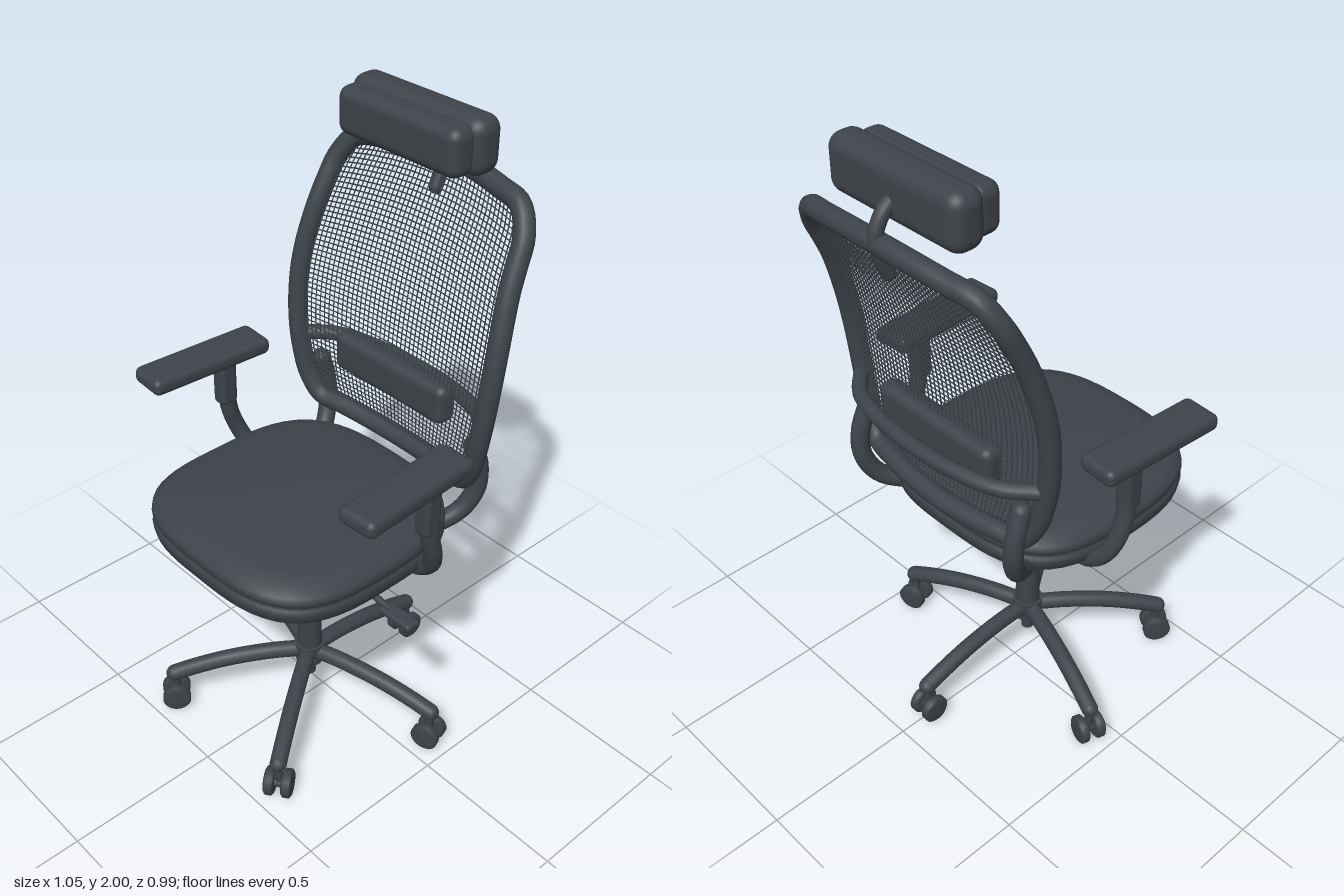
import * as THREE from 'three';
import { mergeGeometries, mergeVertices } from 'three/addons/utils/BufferGeometryUtils.js';
import { RoundedBoxGeometry } from 'three/addons/geometries/RoundedBoxGeometry.js';

const V = (x, y, z) => new THREE.Vector3(x, y, z);
const charcoal = new THREE.MeshStandardMaterial({ color: 0x3d4349 });
charcoal.name = 'charcoal';

function add(parent, name, geometry, x = 0, y = 0, z = 0) {
  const mesh = new THREE.Mesh(geometry, charcoal);
  mesh.name = name;
  mesh.position.set(x, y, z);
  parent.add(mesh);
  return mesh;
}

// Round rod through points, closed off with domed ends
function rod(points, radius, segments = 32) {
  const ends = [points[0], points[points.length - 1]].map((p) =>
    new THREE.SphereGeometry(radius, 14, 10).translate(p.x, p.y, p.z));
  const tube = new THREE.TubeGeometry(new THREE.CatmullRomCurve3(points), segments, radius, 14);
  return mergeGeometries([tube, ...ends]);
}

// Backrest surface: u runs across (-1..1), v runs up (0..1)
const sideCurve = new THREE.CatmullRomCurve3([
  V(0.335, 0.91, -0.272), V(0.37, 1.0, -0.26), V(0.4, 1.15, -0.255), V(0.41, 1.35, -0.275),
  V(0.392, 1.55, -0.33), V(0.37, 1.7, -0.4), V(0.345, 1.755, -0.425),
]);
function backPoint(u, v) {
  const s = sideCurve.getPointAt(v);
  const k = 1 - u * u;
  return V(u * s.x, s.y + (-0.02 + 0.06 * v) * k, s.z - 0.04 * k);
}

function buildBackrest(chair) {
  const back = new THREE.Group();
  back.name = 'backrest';
  chair.add(back);

  // Closed frame following the border of the backrest surface
  const border = [];
  for (let i = 0; i < 8; i++) border.push(backPoint(-0.94 + 1.88 * i / 7, 1));
  for (let i = 1; i < 12; i++) border.push(backPoint(1, 1 - i / 12));
  for (let i = 0; i < 8; i++) border.push(backPoint(0.94 - 1.88 * i / 7, 0));
  for (let i = 1; i < 12; i++) border.push(backPoint(-1, i / 12));
  add(back, 'backFrame', new THREE.TubeGeometry(new THREE.CatmullRomCurve3(border, true), 160, 0.032, 14, true));

  // Woven mesh of fine threads
  const threads = [];
  const thread = (at, segments) => {
    const points = Array.from({ length: 13 }, (_, i) => at(i / 12));
    threads.push(new THREE.TubeGeometry(new THREE.CatmullRomCurve3(points), segments, 0.0025, 4));
  };
  const columns = 46, rows = 56;
  for (let i = 1; i < columns; i++) thread((t) => backPoint(-1 + 2 * i / columns, t), 20);
  for (let i = 1; i < rows; i++) thread((t) => backPoint(-1 + 2 * t, i / rows), 16);
  add(back, 'backMesh', mergeGeometries(threads));

  // Lumbar pad and the bowed bar behind it
  add(back, 'lumbarPad', new RoundedBoxGeometry(0.47, 0.13, 0.075, 4, 0.028), 0, 1.12, -0.292);
  add(back, 'lumbarBar', rod([V(-0.385, 1.115, -0.27), V(-0.3, 1.115, -0.34), V(-0.15, 1.115, -0.378),
    V(0, 1.115, -0.387), V(0.15, 1.115, -0.378), V(0.3, 1.115, -0.34), V(0.385, 1.115, -0.27)], 0.024));

  // Curved supports joining the backrest to the seat
  for (const s of [-1, 1]) {
    add(back, 'backSupport', rod([V(s * 0.335, 1.03, -0.295), V(s * 0.34, 0.95, -0.322), V(s * 0.335, 0.86, -0.325),
      V(s * 0.31, 0.78, -0.285), V(s * 0.26, 0.735, -0.2), V(s * 0.15, 0.7, -0.1)], 0.03));
  }

  // Headrest on a hooked stem
  add(back, 'headrestStem', rod([V(0, 1.7, -0.438), V(0, 1.76, -0.465), V(0, 1.81, -0.475),
    V(0, 1.87, -0.45), V(0, 1.91, -0.4)], 0.021));
  add(back, 'headrestShell', new RoundedBoxGeometry(0.51, 0.17, 0.11, 5, 0.045), 0, 1.915, -0.375);
  add(back, 'headrestCushion', new RoundedBoxGeometry(0.47, 0.145, 0.09, 5, 0.035), 0, 1.913, -0.3);
}

function buildSeat(chair) {
  // Cushion and pan: turned profile with a seam, pushed out to a rounded square
  const profile = [[0, 0.71], [0.5, 0.71], [0.8, 0.712], [0.93, 0.725], [0.985, 0.75], [1, 0.78], [0.985, 0.792],
    [0.972, 0.798], [0.985, 0.804], [1, 0.82], [0.99, 0.84], [0.93, 0.859], [0.8, 0.87], [0.5, 0.875], [0, 0.876]];
  let seat = new THREE.LatheGeometry(profile.map(([r, y]) => new THREE.Vector2(r, y)), 72);
  const p = seat.attributes.position;
  for (let i = 0; i < p.count; i++) {
    const x = p.getX(i), z = p.getZ(i), r = Math.hypot(x, z);
    const k = r > 1e-6 ? r / Math.pow(Math.abs(x) ** 3.1 + Math.abs(z) ** 3.1, 1 / 3.1) : 1;
    const px = x * k, pz = z * k;
    p.setXYZ(i, px * 0.398, p.getY(i) - 0.014 * px * px, 0.102 + pz * 0.392);
  }
  seat.deleteAttribute('normal');
  seat.deleteAttribute('uv');
  seat = mergeVertices(seat, 1e-5);
  seat.computeVertexNormals();
  add(chair, 'seat', seat);

  // Tilt mechanism and height lever
  add(chair, 'tiltMechanism', new RoundedBoxGeometry(0.41, 0.065, 0.385, 4, 0.025), 0, 0.687, 0.028);
  add(chair, 'heightLever', rod([V(0.15, 0.695, 0.1), V(0.28, 0.69, 0.105), V(0.42, 0.677, 0.11)], 0.011, 12));
  add(chair, 'leverPaddle', new RoundedBoxGeometry(0.125, 0.024, 0.05, 3, 0.01), 0.45, 0.675, 0.11);
}

function buildArms(chair) {
  for (const s of [-1, 1]) {
    const arm = new THREE.Group();
    arm.name = s > 0 ? 'leftArm' : 'rightArm';
    chair.add(arm);
    const pad = add(arm, 'armPad', new RoundedBoxGeometry(0.132, 0.055, 0.43, 4, 0.022), s * 0.45, 1.128, 0.095);
    pad.rotation.y = s * 0.06;
    add(arm, 'armSleeve', new RoundedBoxGeometry(0.055, 0.18, 0.066, 3, 0.018), s * 0.453, 1.025, 0.012);
    add(arm, 'armSupport', rod([V(s * 0.453, 1.0, 0.01), V(s * 0.455, 0.91, 0), V(s * 0.45, 0.84, -0.02),
      V(s * 0.425, 0.775, -0.042), V(s * 0.37, 0.727, -0.05), V(s * 0.3, 0.715, -0.05), V(s * 0.18, 0.7, -0.04)], 0.028));
  }
}

function buildBase(chair) {
  const base = new THREE.Group();
  base.name = 'base';
  base.position.z = 0.06;
  chair.add(base);
  add(base, 'gasLift', new THREE.CylinderGeometry(0.022, 0.022, 0.2, 24), 0, 0.58, 0);
  add(base, 'columnSleeve', new THREE.CylinderGeometry(0.036, 0.042, 0.37, 28), 0, 0.345, 0);
  add(base, 'hub', new THREE.CylinderGeometry(0.05, 0.045, 0.075, 28), 0, 0.195, 0);
  add(base, 'hubPin', new THREE.CylinderGeometry(0.025, 0.02, 0.07, 20), 0, 0.135, 0);

  // Five arched legs with twin-wheel casters, one leg straight back
  for (let i = 0; i < 5; i++) {
    const leg = new THREE.Group();
    leg.name = 'leg';
    leg.rotation.y = Math.PI + i * Math.PI * 2 / 5;
    base.add(leg);
    add(leg, 'legBeam', rod([V(0, 0.202, 0), V(0, 0.2, 0.13), V(0, 0.182, 0.27), V(0, 0.155, 0.38), V(0, 0.132, 0.45)], 0.027, 20));
    add(leg, 'casterStem', new THREE.CylinderGeometry(0.014, 0.014, 0.08, 14), 0, 0.09, 0.447);
    add(leg, 'casterAxle', new THREE.CylinderGeometry(0.018, 0.018, 0.06, 14).rotateZ(Math.PI / 2), 0, 0.047, 0.447);
    for (const s of [-1, 1]) {
      const wheel = [[0, -0.016], [0.038, -0.016], [0.046, -0.01], [0.046, 0.01], [0.038, 0.016], [0, 0.016]]
        .map(([r, y]) => new THREE.Vector2(r, y));
      add(leg, 'casterWheel', new THREE.LatheGeometry(wheel, 28).rotateZ(Math.PI / 2), s * 0.028, 0.046, 0.447);
    }
  }
}

export function createModel() {
  const chair = new THREE.Group();
  chair.name = 'officeChair';
  buildBackrest(chair);
  buildSeat(chair);
  buildArms(chair);
  buildBase(chair);
  return chair;
}
